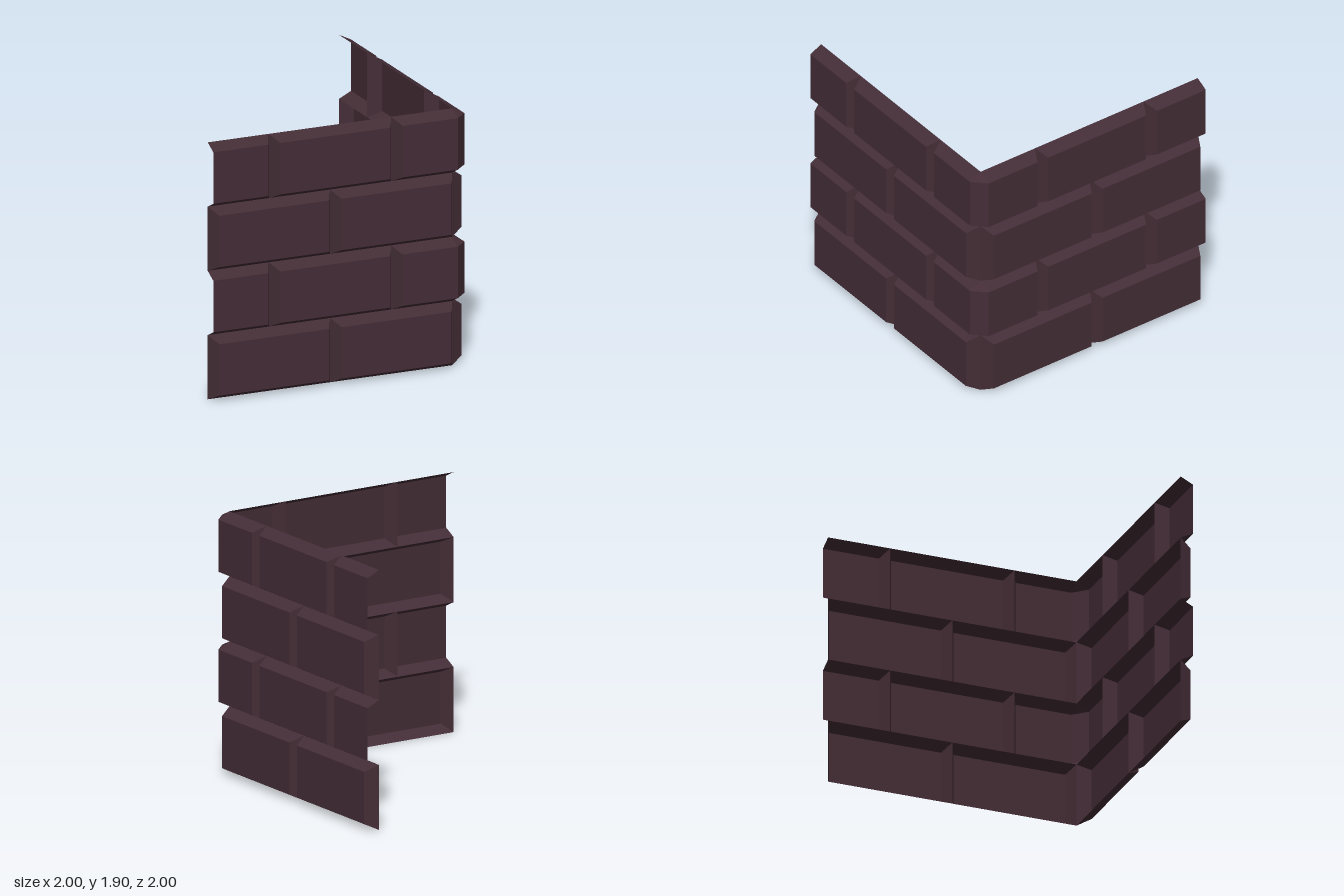
import * as THREE from 'three';

const COURSE = 1.905 / 4;      // height of one course
const LENGTH = COURSE * 2;     // length of one brick
const DEPTH = 0.095;           // how far a brick stands out of the joints
const BEVEL = DEPTH / 2;       // width of the bevel around a brick face
const BACK = 1 - DEPTH;        // plane of the joints

const material = new THREE.MeshStandardMaterial({
  color: 0x442d36, roughness: 0.9, flatShading: true, side: THREE.DoubleSide,
});

// Mesh from convex polygons, corners counter-clockwise
function polygonMesh(name, polygons) {
  const points = [];
  for (const p of polygons) {
    for (let i = 1; i < p.length - 1; i++) points.push(...p[0], ...p[i], ...p[i + 1]);
  }
  const geometry = new THREE.BufferGeometry();
  geometry.setAttribute('position', new THREE.Float32BufferAttribute(points, 3));
  geometry.computeVertexNormals();
  const mesh = new THREE.Mesh(geometry, material);
  mesh.name = name;
  return mesh;
}

// Open bevelled brick; an end without a bevel is cut straight
function brick(u0, u1, y0, bevelStart, bevelEnd) {
  const y1 = y0 + COURSE;
  const rect = (a, b, c, d, z) => [[a, c, z], [b, c, z], [b, d, z], [a, d, z]];
  const base = rect(u0, u1, y0, y1, BACK);
  const face = rect(
    u0 + (bevelStart ? BEVEL : 0), u1 - (bevelEnd ? BEVEL : 0),
    y0 + BEVEL, y1 - BEVEL, 1);
  const polygons = [face];
  const sloped = [true, bevelEnd, true, bevelStart];
  for (let i = 0; i < 4; i++) {
    const j = (i + 1) % 4;
    if (sloped[i]) polygons.push([base[i], base[j], face[j], face[i]]);
  }
  return polygonMesh('brick', polygons);
}

// Chamfer that carries a brick around the corner
function cornerChamfer(y0) {
  const low = y0 + BEVEL, high = y0 + COURSE - BEVEL;
  const a = [BACK, low, 1], b = [1, low, BACK], c = [1, high, BACK], d = [BACK, high, 1];
  return polygonMesh('cornerChamfer', [
    [a, b, c, d],
    [[BACK, y0, BACK], b, a],
    [d, c, [BACK, y0 + COURSE, BACK]],
  ]);
}

// One wall in running bond; the mirrored one has its corner at the start
function wall(name, mirrored) {
  const group = new THREE.Group();
  group.name = name;
  for (let row = 0; row < 4; row++) {
    const half = row % 2 === 1;
    const middle = -1 + LENGTH;
    const joints = half
      ? [-1, -1 + LENGTH / 2, -1 + LENGTH * 1.5, BACK]
      : [-1, middle, BACK];
    for (let i = 0; i < joints.length - 1; i++) {
      const start = !(half && i === 0);
      const end = !(half && i === joints.length - 2);
      const y = row * COURSE;
      group.add(mirrored
        ? brick(-joints[i + 1], -joints[i], y, end, start)
        : brick(joints[i], joints[i + 1], y, start, end));
    }
  }
  return group;
}

export function createModel() {
  const model = new THREE.Group();
  model.name = 'brickCorner';

  const frontWall = wall('frontWall', false);
  const sideWall = wall('sideWall', true);
  sideWall.rotation.y = Math.PI / 2;
  model.add(frontWall, sideWall);

  // Courses that wrap around the corner
  for (const row of [1, 3]) model.add(cornerChamfer(row * COURSE));
  return model;
}
